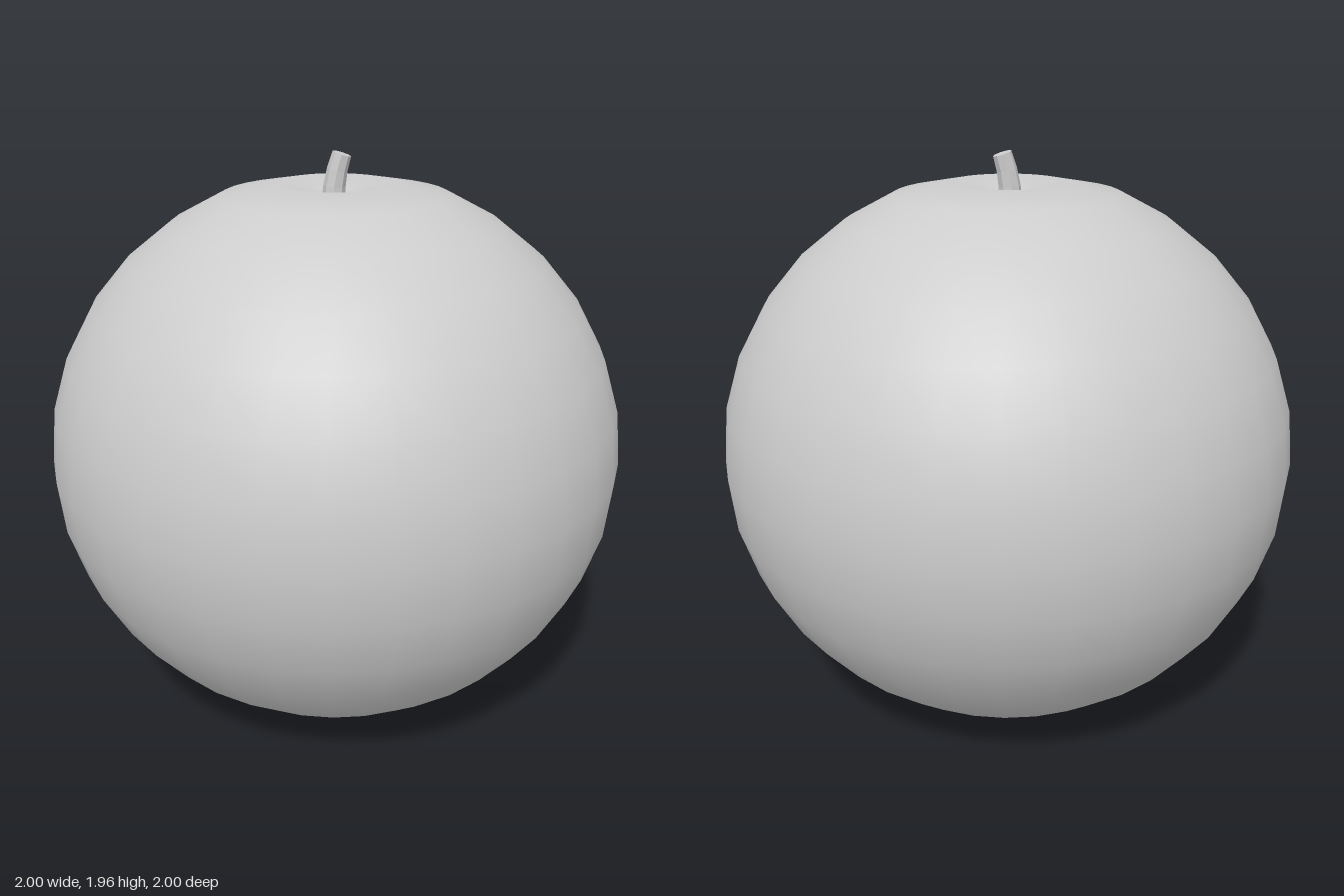
import * as THREE from 'three';

const SIDES = 32, RINGS = 16;
const CENTRE_Y = 0.932;

// Squashed round fruit, sunken at both poles
function bodyGeometry() {
  const profile = [new THREE.Vector2(0, 0.05), new THREE.Vector2(0.06, 0.035)];
  for (let i = 1; i < RINGS; i++) {
    const a = (i / RINGS) * Math.PI;
    let y = CENTRE_Y - 0.965 * Math.cos(a);
    if (i === 1) y = 0;
    if (i === 2) y = 0.052;
    if (i === RINGS - 2) y = 1.826;
    if (i === RINGS - 1) y = 1.862;
    profile.push(new THREE.Vector2(Math.sin(a), y));
  }
  profile.push(new THREE.Vector2(0.06, 1.827), new THREE.Vector2(0, 1.82));
  return new THREE.LatheGeometry(profile, SIDES);
}

// Short faceted stalk that curves towards +x, with a tilted cut end
function stemGeometry() {
  const height = 0.16;
  const geo = new THREE.CylinderGeometry(0.032, 0.04, height, 8, 3);
  const pos = geo.attributes.position;
  for (let i = 0; i < pos.count; i++) {
    const t = pos.getY(i) / height + 0.5;
    const x = pos.getX(i);
    const tilt = 0.3 * t;
    pos.setXYZ(i,
      -0.008 + 0.028 * t * t + x * Math.cos(tilt),
      1.795 + height * t - x * Math.sin(tilt),
      pos.getZ(i) - 0.008);
  }
  const flat = geo.toNonIndexed();
  flat.computeVertexNormals();
  return flat;
}

export function createModel() {
  const group = new THREE.Group();
  group.name = 'fruit';
  const grey = new THREE.MeshStandardMaterial({ color: 0xcccccc });
  grey.name = 'light grey';

  const body = new THREE.Mesh(bodyGeometry(), grey);
  body.name = 'body';
  const stem = new THREE.Mesh(stemGeometry(), grey);
  stem.name = 'stem';
  group.add(body, stem);
  return group;
}
